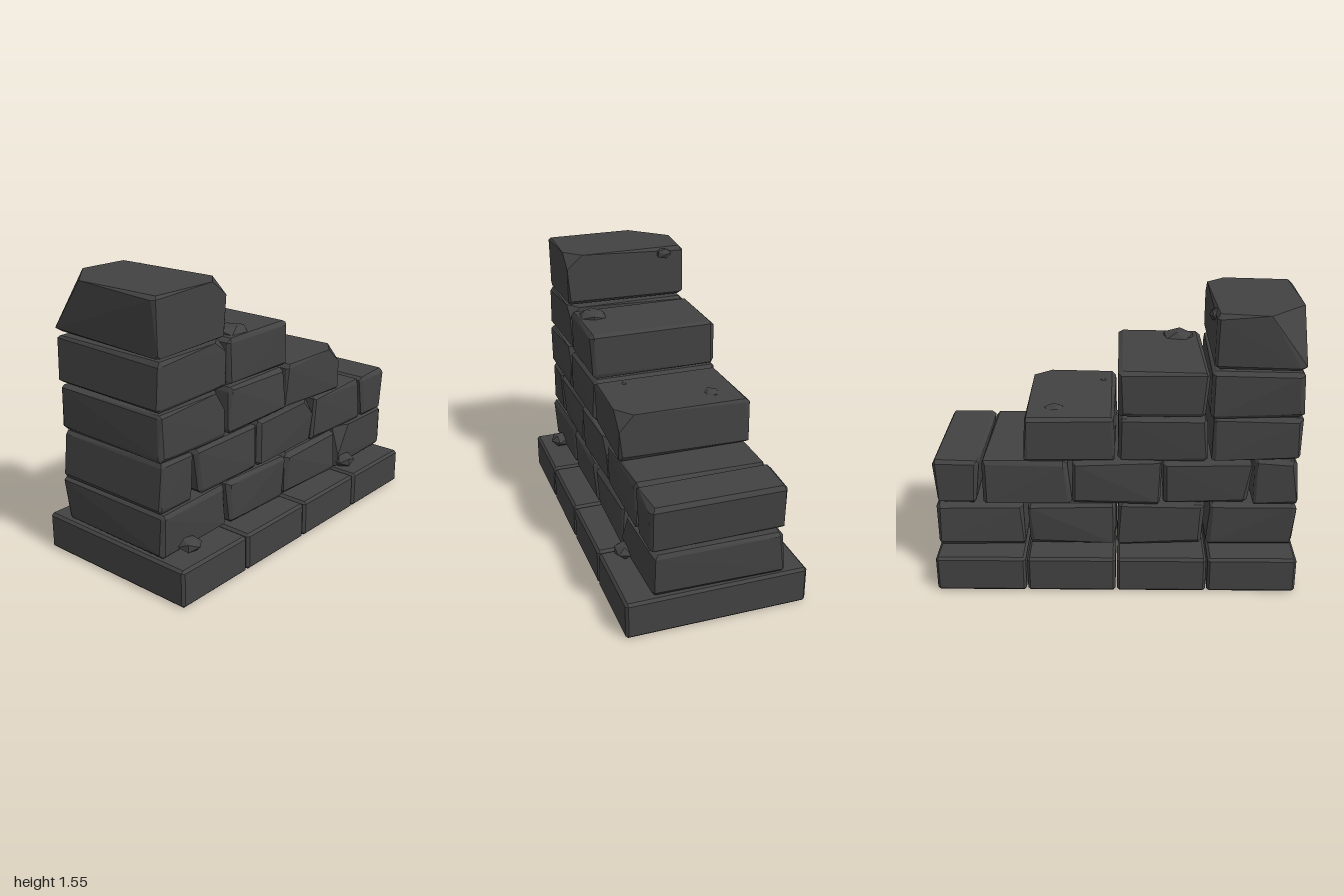
import * as THREE from 'three';
import { ConvexGeometry } from 'three/addons/geometries/ConvexGeometry.js';

let seed = 7;
const rand = () => (seed = (seed * 16807) % 2147483647) / 2147483647;
const jitter = (a) => (rand() - 0.5) * 2 * a;

// Chamfered block; xb and xt are its x ranges at the bottom and top.
// chips maps a corner such as '+++' (signs of x, y, z) to cut lengths along each axis.
function block(xb, xt, y, z, bevel, rough, chips = {}) {
  const pts = [];
  for (const sx of [-1, 1]) for (const sy of [-1, 1]) for (const sz of [-1, 1]) {
    const key = [sx, sy, sz].map((s) => (s > 0 ? '+' : '-')).join('');
    const c = new THREE.Vector3(
      (sy > 0 ? xt : xb)[sx > 0 ? 1 : 0] + jitter(rough * 0.6),
      y[sy > 0 ? 1 : 0] + jitter(rough * 0.5),
      z[sz > 0 ? 1 : 0] + jitter(rough));
    const s = [sx, sy, sz];
    for (let axis = 0; axis < 3; axis++) {
      const p = c.clone();
      for (let k = 0; k < 3; k++) {
        if (chips[key]) {
          if (k === axis) p.setComponent(k, p.getComponent(k) - s[k] * chips[key][k]);
        } else if (k !== axis) {
          const b = bevel * (1 + (rough ? jitter(0.5) : 0));
          p.setComponent(k, p.getComponent(k) - s[k] * b);
        }
      }
      pts.push(p);
    }
  }
  return new ConvexGeometry(pts);
}

export function createModel() {
  const group = new THREE.Group();
  const stone = new THREE.MeshStandardMaterial({ color: 0x424242, flatShading: true });
  stone.name = 'dark stone';
  const add = (name, geometry) => {
    const mesh = new THREE.Mesh(geometry, stone);
    mesh.name = name;
    group.add(mesh);
    return mesh;
  };

  // Footing slabs
  for (const x of [[-0.99, -0.503], [-0.495, -0.006], [0.002, 0.488], [0.496, 0.99]])
    add('footingSlab', block(x, x, [0.003, 0.21], [-0.497, 0.497], 0.014, 0));

  // Wall courses: each stone is [bottom x range, top x range, chips]
  const courses = [
    { y: [0.22, 0.465], stones: [
      [[-0.985, -0.495], [-0.99, -0.515]],
      [[-0.475, -0.008], [-0.49, -0.01]],
      [[0.01, 0.482], [0.004, 0.487]],
      [[0.5, 0.988], [0.51, 0.993], { '-++': [0.1, 0.17, 0.05] }]] },
    { y: [0.475, 0.73], stones: [
      [[-0.995, -0.75], [-0.98, -0.75]],
      [[-0.715, -0.257], [-0.745, -0.255]],
      [[-0.24, 0.24], [-0.25, 0.235], { '+++': [0.08, 0.09, 0.06] }],
      [[0.245, 0.73], [0.265, 0.735]],
      [[0.765, 0.978], [0.738, 0.996]]] },
    { y: [0.737, 0.985], stones: [
      [[-0.988, -0.512], [-0.99, -0.515], { '+++': [0.06, 0.1, 0.07] }],
      [[-0.488, -0.004], [-0.482, -0.008]],
      [[0.002, 0.492], [0.006, 0.492], { '+++': [0.1, 0.09, 0.08] }]] },
    { y: [0.993, 1.245], stones: [
      [[-0.99, -0.502], [-0.985, -0.505], { '+++': [0.08, 0.06, 0.06] }],
      [[-0.475, -0.01], [-0.485, -0.008]]] },
    { y: [1.255, 1.557], stones: [
      [[-0.978, -0.505], [-0.988, -0.508],
        { '+++': [0.1, 0.08, 0.09], '--+': [0.02, 0.02, 0.02], '-+-': [0.2, 0.27, 0.2] }]] },
  ];
  for (const { y, stones } of courses)
    for (const [xb, xt, chips] of stones)
      add('wallStone', block(xb, xt, y, [-0.356, 0.362], 0.018, 0.01, chips));

  // Loose rubble and small lumps: centre, then radii
  for (const [name, pos, size] of [
    ['rubble', [-0.81, 0.25, 0.375], [0.07, 0.042, 0.065]],
    ['rubble', [0.57, 0.25, 0.37], [0.07, 0.042, 0.065]],
    ['rubble', [-0.51, 1.522, -0.225], [0.03, 0.034, 0.05]],
    ['lump', [-0.35, 1.24, 0.26], [0.1, 0.042, 0.085]],
    ['lump', [0.34, 0.98, -0.2], [0.06, 0.025, 0.05]],
    ['lump', [0.08, 0.982, 0.21], [0.025, 0.012, 0.015]],
  ]) {
    const g = new THREE.IcosahedronGeometry(1, 0);
    g.rotateY(pos[0] * 5);
    g.scale(...size);
    add(name, g).position.set(...pos);
  }
  return group;
}
